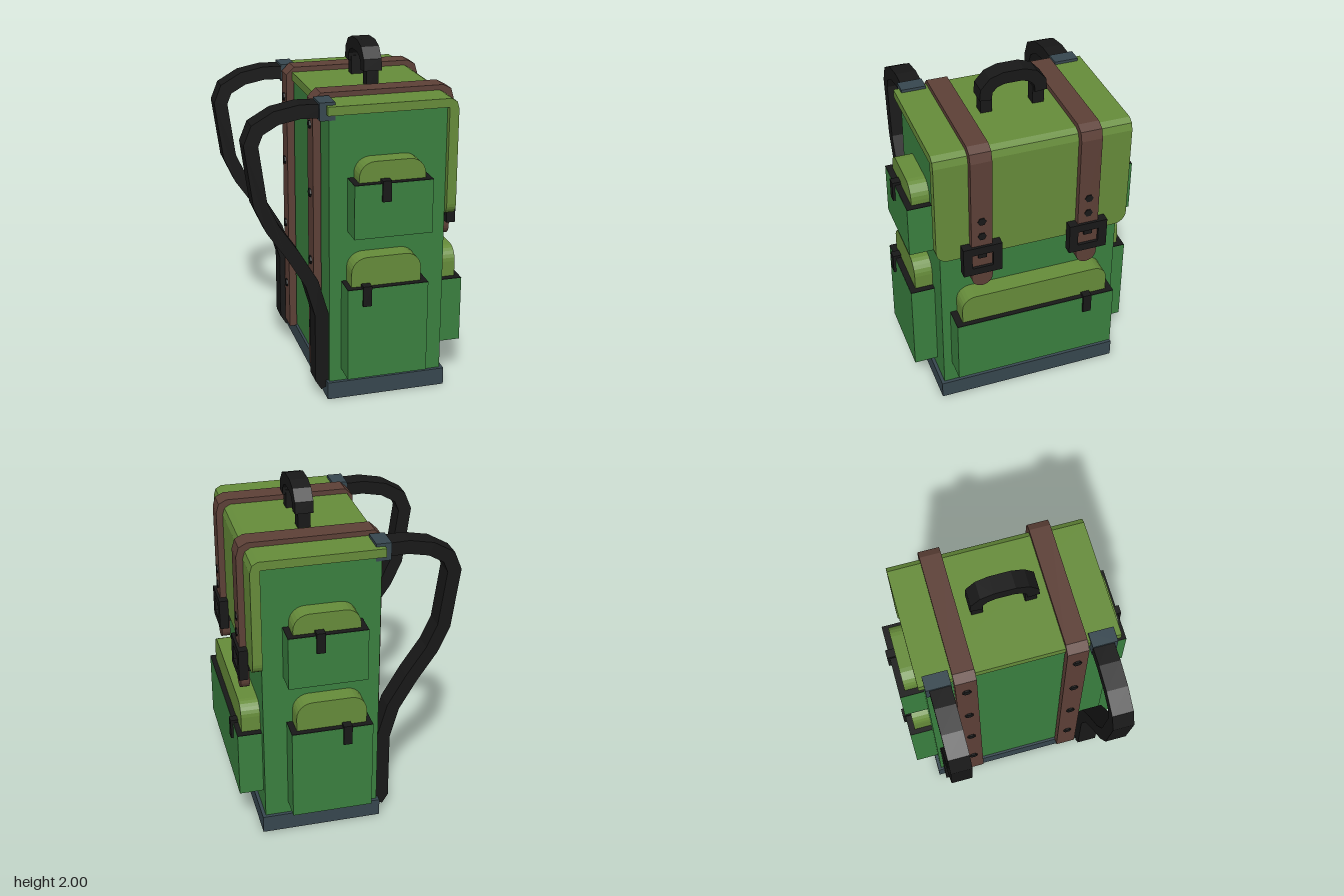
import * as THREE from 'three';

const mat = (color) => new THREE.MeshStandardMaterial({ color, flatShading: true });
const GREEN = mat(0x3a803f), LIME = mat(0x668c3a), LEATHER = mat(0x5d4037);
const BLACK = mat(0x181818), SLATE = mat(0x37474f);

export function createModel() {
  const model = new THREE.Group();
  const add = (name, geometry, material) => {
    const mesh = new THREE.Mesh(geometry, material);
    mesh.name = name;
    model.add(mesh);
    return mesh;
  };
  // box from its limits on each axis
  const box = (name, material, x0, x1, y0, y1, z0, z1) =>
    add(name, new THREE.BoxGeometry(Math.abs(x1 - x0), Math.abs(y1 - y0), Math.abs(z1 - z0))
      .translate((x0 + x1) / 2, (y0 + y1) / 2, (z0 + z1) / 2), material);
  const extrude = (shape, depth) =>
    new THREE.ExtrudeGeometry(shape, { depth, bevelEnabled: false, curveSegments: 3 });
  // outline in x,y pushed along z
  const alongZ = (shape, z0, z1) =>
    extrude(shape, Math.abs(z1 - z0)).translate(0, 0, Math.min(z0, z1));
  // outline in -z,y pushed along x
  const alongX = (shape, x0, x1) => extrude(shape, x1 - x0).rotateY(Math.PI / 2).translate(x0, 0, 0);
  const polygon = (pts) => new THREE.Shape(pts.map(([x, y]) => new THREE.Vector2(x, y)));

  // band of even thickness around a centre line
  const band = (path, thickness) => {
    const pts = path.map(([x, y]) => new THREE.Vector2(x, y));
    const left = [], right = [];
    pts.forEach((p, i) => {
      const a = p.clone().sub(pts[Math.max(i - 1, 0)]).normalize();
      const b = pts[Math.min(i + 1, pts.length - 1)].clone().sub(p).normalize();
      const t = a.clone().add(b).normalize();
      const miter = thickness / 2 / Math.max(t.dot(i ? a : b), 0.5);
      const n = new THREE.Vector2(-t.y, t.x).multiplyScalar(miter);
      left.push(p.clone().add(n));
      right.unshift(p.clone().sub(n));
    });
    return new THREE.Shape([...left, ...right]);
  };
  // rectangle with only the top or only the bottom corners rounded
  const roundedEnd = (u0, u1, flatY, roundY, r) => {
    const d = Math.sign(roundY - flatY);
    const s = new THREE.Shape();
    s.moveTo(u0, flatY);
    s.lineTo(u1, flatY);
    s.lineTo(u1, roundY - d * r);
    s.absarc(u1 - r, roundY - d * r, r, 0, d * Math.PI / 2, d < 0);
    s.lineTo(u0 + r, roundY);
    s.absarc(u0 + r, roundY - d * r, r, d * Math.PI / 2, d * Math.PI, d < 0);
    return s;
  };

  // main bag
  box('body', GREEN, -0.185, 0.49, 0.1, 1.73, -0.53, 0.53);
  box('base', SLATE, -0.2, 0.51, 0, 0.105, -0.55, 0.55);

  // lid folded over the top and down the face
  const lid = polygon([[-0.2, 1.71], [0.49, 1.71], [0.49, 1.2], [0.545, 1.2],
    [0.545, 1.7], [0.533, 1.74], [0.5, 1.76], [-0.2, 1.76]]);
  add('lid', alongZ(lid, -0.565, 0.565), LIME);
  add('lidFlap', alongX(roundedEnd(-0.565, 0.565, 1.2, 1.075, 0.07), 0.49, 0.545), LIME);

  // side pockets: [x0, x1, y0, y1, stuffing x0, x1, top, clip x at +z, clip x at -z]
  const sidePockets = [
    [-0.115, 0.355, 0.18, 0.73, -0.085, 0.32, 0.905, -0.005, 0.035],
    [-0.08, 0.37, 1.03, 1.34, -0.045, 0.335, 1.46, 0.1, 0.19],
  ];
  for (const s of [1, -1]) {
    for (const [x0, x1, y0, y1, a, b, top, clipL, clipR] of sidePockets) {
      box('sidePocket', GREEN, x0, x1, y0, y1, s * 0.52, s * 0.67);
      box('sidePocketOpening', BLACK, x0, x1, y1, y1 + 0.003, s * 0.53, s * 0.669);
      add('sidePocketFlap', alongZ(roundedEnd(a, b, y1 - 0.02, top, 0.09), s * 0.52, s * 0.635), LIME);
      const c = s > 0 ? clipL : clipR;
      box('sideClipTop', BLACK, c - 0.025, c + 0.025, y1, y1 + 0.02, s * 0.63, s * 0.685);
      box('sideClip', BLACK, c - 0.025, c + 0.025, y1 - 0.1, y1 + 0.02, s * 0.67, s * 0.685);
    }
  }

  // large face pocket
  box('facePocket', GREEN, 0.48, 0.63, 0.25, 0.645, -0.48, 0.48);
  box('facePocketOpening', BLACK, 0.49, 0.629, 0.645, 0.648, -0.48, 0.48);
  add('facePocketFlap', alongX(roundedEnd(-0.44, 0.44, 0.63, 0.82, 0.08), 0.48, 0.6), LIME);
  box('faceClipTop', BLACK, 0.59, 0.645, 0.645, 0.665, -0.335, -0.285);
  box('faceClip', BLACK, 0.63, 0.645, 0.545, 0.665, -0.335, -0.285);

  // leather straps with rivets and buckles
  const strapPath = [[-0.213, 0.1], [-0.213, 1.735], [-0.18, 1.767], [0.515, 1.767],
    [0.548, 1.75], [0.56, 1.71], [0.56, 1.1]];
  const rivet = (x, y, z) => add('rivet',
    new THREE.CylinderGeometry(0.025, 0.025, 0.02, 6).rotateZ(Math.PI / 2).translate(x, y, z), BLACK);
  for (const s of [1, -1]) {
    const z = s * 0.313;
    add('leatherStrap', alongZ(band(strapPath, 0.045), z - 0.061, z + 0.061), LEATHER);
    add('strapTip', alongX(roundedEnd(-0.061, 0.061, 1.16, 0.88, 0.06), 0.53, 0.581), LEATHER)
      .position.z = z;
    for (const y of [1.6, 1.2, 0.79, 0.38]) rivet(-0.236, y, z);
    for (const y of [1.33, 1.23]) rivet(0.578, y, z);

    const frame = polygon([[-0.113, 0.98], [0.113, 0.98], [0.113, 1.165], [-0.113, 1.165]]);
    frame.holes.push(new THREE.Path([[-0.061, 1.025], [-0.061, 1.115], [0.061, 1.115], [0.061, 1.025]]
      .map(([u, y]) => new THREE.Vector2(u, y))));
    add('buckle', alongX(frame, 0.545, 0.598), BLACK).position.z = z;
    box('bucklePin', BLACK, 0.57, 0.592, 1.085, 1.13, z - 0.025, z + 0.025);
    box('buckleMount', BLACK, 0.48, 0.55, 1.015, 1.075, z - 0.08, z + 0.08);
  }

  // shoulder straps and their anchors
  const shoulderPath = [[-0.18, 1.725], [-0.34, 1.73], [-0.47, 1.705], [-0.575, 1.645],
    [-0.61, 1.56], [-0.565, 1.22], [-0.5, 1.075], [-0.385, 0.905], [-0.28, 0.725],
    [-0.225, 0.53], [-0.225, 0.12], [-0.195, 0.07]];
  for (const s of [1, -1]) {
    add('shoulderStrap', alongZ(band(shoulderPath, 0.078), s * 0.392, s * 0.512), BLACK);
    box('strapAnchor', SLATE, -0.237, -0.15, 1.675, 1.777, s * 0.39, s * 0.532);
  }

  // carry handle
  const handlePath = [[-0.16, 1.845], [-0.155, 1.9], [-0.115, 1.945], [-0.055, 1.965],
    [0.055, 1.965], [0.115, 1.945], [0.155, 1.9], [0.16, 1.845]];
  add('handle', alongX(band(handlePath, 0.07), 0.11, 0.215), BLACK);
  for (const s of [1, -1]) box('handlePost', BLACK, 0.127, 0.198, 1.74, 1.87, s * 0.118, s * 0.184);

  return model;
}
